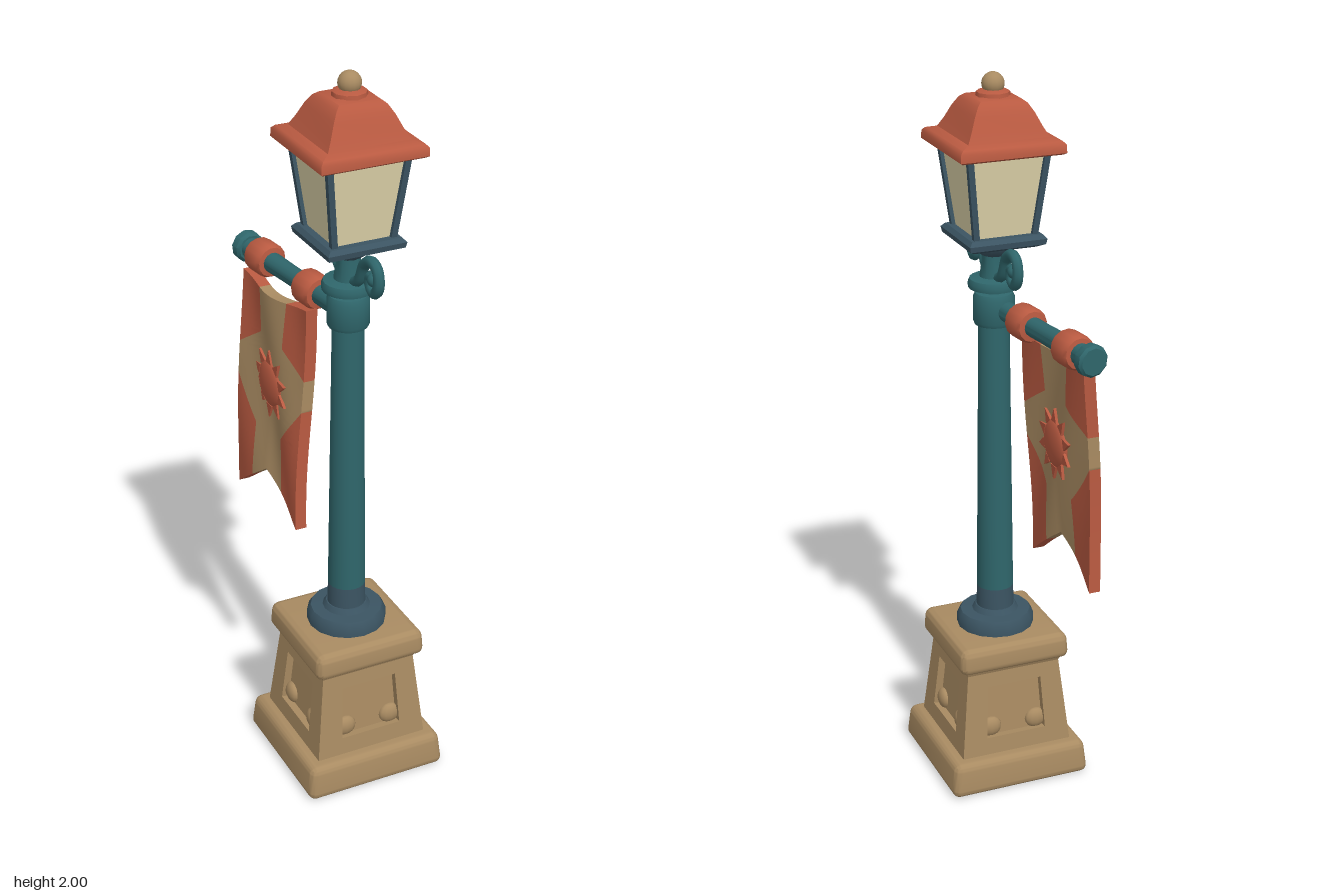
import * as THREE from 'three';
import { toCreasedNormals } from 'three/addons/utils/BufferGeometryUtils.js';
import { RoundedBoxGeometry } from 'three/addons/geometries/RoundedBoxGeometry.js';

const mat = (name, color) => {
  const m = new THREE.MeshStandardMaterial({ color });
  m.name = name;
  return m;
};
const LAMP_Z = 0.143; // the lamp's own axis

export function createModel() {
  const stone = mat('stone', 0xa98b62);
  const teal = mat('teal', 0x2f666b);
  const slate = mat('slate', 0x3b5462);
  const red = mat('red', 0xb95a41);
  const glass = mat('glass', 0xded3aa);

  const model = new THREE.Group();
  const lamp = new THREE.Group();
  lamp.name = 'lampPost';
  lamp.position.z = LAMP_Z;
  model.add(lamp);

  const add = (parent, name, geo, material, x = 0, y = 0, z = 0) => {
    const m = new THREE.Mesh(geo, material);
    m.name = name;
    m.position.set(x, y, z);
    parent.add(m);
    return m;
  };
  // Turned profile of [radius, y] points, listed from bottom to top
  const turned = (pts, sides = 20) => toCreasedNormals(
    new THREE.LatheGeometry(pts.map(p => new THREE.Vector2(...p)), sides), 0.7);
  // Square loft through [halfWidth, y] points
  const square = pts => toCreasedNormals(new THREE.LatheGeometry(
    pts.map(([h, y]) => new THREE.Vector2(h * Math.SQRT2, y)), 4, Math.PI / 4), 0.75);
  // Gently worn stone block, tapering by k towards the top
  const stoneBlock = (w, h, r, k) => {
    const g = new RoundedBoxGeometry(w, h, w, 4, r);
    const p = g.attributes.position;
    for (let i = 0; i < p.count; i++) {
      const s = 1 - k * (p.getY(i) / h + 0.5);
      p.setX(i, p.getX(i) * s);
      p.setZ(i, p.getZ(i) * s);
    }
    g.computeVertexNormals();
    return toCreasedNormals(g, 0.7);
  };

  // Stone pedestal
  add(lamp, 'plinth', stoneBlock(0.412, 0.1, 0.022, 0.05), stone, 0, 0.05, 0);
  add(lamp, 'pedestalCore', square([[0.14, 0.09], [0.114, 0.37]]), stone);
  add(lamp, 'pedestalCap', stoneBlock(0.325, 0.075, 0.022, 0.03), stone, 0, 0.395, 0);
  add(lamp, 'capMoulding', square([[0.133, 0.335], [0.14, 0.355], [0.155, 0.38]]), stone);

  // Four framed panels with worn lumps in the lower corners
  const frame = new THREE.Shape([[-0.163, 0], [0.163, 0], [0.135, 0.27], [-0.135, 0.27]]
    .map(p => new THREE.Vector2(...p)));
  frame.holes.push(new THREE.Path([[-0.088, 0.06], [-0.08, 0.215], [0.08, 0.215], [0.088, 0.06]]
    .map(p => new THREE.Vector2(...p))));
  const frameGeo = new THREE.ExtrudeGeometry(frame, { depth: 0.024, bevelEnabled: false });
  frameGeo.translate(0, 0, -0.024);
  const lumpGeo = new THREE.SphereGeometry(1, 12, 8);
  for (let i = 0; i < 4; i++) {
    const side = new THREE.Group();
    side.name = 'pedestalSide';
    side.rotation.y = i * Math.PI / 2;
    lamp.add(side);
    add(side, 'panelFrame', frameGeo, stone, 0, 0.09, 0.163).rotation.x = -Math.atan(0.028 / 0.27);
    for (const s of [-1, 1]) {
      add(side, 'wornLump', lumpGeo, stone, s * 0.068, 0.172, 0.132).scale.set(0.032, 0.03, 0.018);
    }
  }

  // Post
  add(lamp, 'footCollar', turned([[0, 0.425], [0.108, 0.425], [0.108, 0.458], [0.098, 0.474],
    [0.065, 0.476], [0.056, 0.49], [0, 0.49]], 16), slate);
  add(lamp, 'postFoot', turned([[0.053, 0.47], [0.051, 0.55]]), slate);
  add(lamp, 'post', turned([[0.051, 0.55], [0.047, 0.9], [0.042, 1.34]]), teal);
  add(lamp, 'armCollar', turned([[0.04, 1.325], [0.052, 1.325], [0.056, 1.335], [0.056, 1.4],
    [0.05, 1.412], [0.036, 1.415], [0.036, 1.43]]), teal);
  add(lamp, 'neckDisc', turned([[0.036, 1.427], [0.068, 1.427], [0.07, 1.44], [0.065, 1.452],
    [0.038, 1.457], [0.032, 1.5], [0.032, 1.53]]), teal);
  add(lamp, 'lanternSeat', turned([[0.03, 1.515], [0.045, 1.525], [0.06, 1.555], [0.06, 1.57]], 12), slate);

  // Scroll brackets in front and behind
  const scroll = [[0.02, 1.455], [0.06, 1.475], [0.09, 1.53], [0.125, 1.55], [0.158, 1.54],
    [0.166, 1.5], [0.145, 1.473], [0.12, 1.485], [0.122, 1.51], [0.14, 1.51]];
  for (const s of [-1, 1]) {
    const curve = new THREE.CatmullRomCurve3(scroll.map(([d, y]) => new THREE.Vector3(0, y, s * d)));
    add(lamp, 'scrollBracket', new THREE.TubeGeometry(curve, 40, 0.015, 8), teal);
    add(lamp, 'scrollEye', new THREE.SphereGeometry(0.019, 12, 8), teal, 0, 1.509, s * 0.142);
  }

  // Lantern
  add(lamp, 'lanternTray', square([[0, 1.55], [0.085, 1.55], [0.105, 1.56], [0.108, 1.575],
    [0.098, 1.586], [0, 1.586]]), slate);
  add(lamp, 'lanternGlass', square([[0.078, 1.58], [0.105, 1.81]]), glass);
  const up = new THREE.Vector3(0, 1, 0);
  for (const sx of [-1, 1]) for (const sz of [-1, 1]) {
    const a = new THREE.Vector3(sx * 0.08, 1.575, sz * 0.08);
    const b = new THREE.Vector3(sx * 0.107, 1.81, sz * 0.107);
    const dir = b.clone().sub(a);
    const mid = a.clone().add(b).multiplyScalar(0.5);
    add(lamp, 'lanternPost', new THREE.BoxGeometry(0.016, dir.length(), 0.016), slate, ...mid)
      .quaternion.setFromUnitVectors(up, dir.normalize());
  }
  add(lamp, 'roof', square([[0, 1.803], [0.138, 1.803], [0.145, 1.808], [0.144, 1.83], [0.136, 1.838],
    [0.112, 1.845], [0.098, 1.87], [0.082, 1.905], [0.068, 1.928], [0.055, 1.938], [0, 1.945]]), red);
  add(lamp, 'finialRing', turned([[0.03, 1.93], [0.046, 1.937], [0.044, 1.95], [0.025, 1.957],
    [0, 1.957]], 10), red);
  add(lamp, 'finialBall', new THREE.SphereGeometry(0.03, 16, 12), stone, 0, 1.97, 0);

  // Banner arm, running backwards and slightly to the right
  const arm = new THREE.Group();
  arm.name = 'bannerArm';
  arm.position.set(-0.012, 1.368, LAMP_Z);
  const end = new THREE.Vector3(-0.06, 0, -0.485);
  arm.quaternion.setFromUnitVectors(up, end.clone().normalize());
  model.add(arm);
  const along = z => (LAMP_Z - z) * end.length() / 0.485;
  add(arm, 'armRod', turned([[0.028, 0], [0.026, 0.25], [0.03, along(-0.32)]], 14), teal);
  add(arm, 'armKnob', turned([[0, -0.018], [0.036, -0.018], [0.043, -0.01], [0.043, 0.012],
    [0.036, 0.019], [0, 0.019]], 10), teal, 0, along(-0.325), 0);
  for (const z of [-0.005, -0.238]) {
    add(arm, 'bannerLoop', turned([[0.026, -0.04], [0.041, -0.038], [0.047, -0.028], [0.047, 0.028],
      [0.041, 0.038], [0.026, 0.04]], 14), red, 0, along(z), 0);
  }

  // Banner cloth: s runs across (-1 to 1), v runs from the hem to the top
  const HALF = 0.156, MID = -0.108;
  const clothX = (s, v) => -0.08 - 0.026 * (1 - v) + 0.02 * s + 0.007 * Math.sin(s * 4 + v * 5);
  const clothPoint = (s, v) => {
    const hem = 0.685 + 0.115 * (1 - Math.abs(s));
    const top = 1.335 - 0.02 * Math.cos(s * Math.PI / 2);
    const pinch = 1 - 0.05 * Math.sin(v * Math.PI);
    return [clothX(s, v), hem + (top - hem) * v, MID + s * HALF * pinch];
  };
  // Half-width of the pale field: a diamond widening to the edges
  const field = v => {
    const lerp = THREE.MathUtils.mapLinear;
    if (v >= 0.77 || v <= 0.29) return 0.4;
    if (v > 0.68) return lerp(v, 0.68, 0.77, 1, 0.4);
    return v >= 0.54 ? 1 : lerp(v, 0.29, 0.54, 0.4, 1);
  };
  const cloth = (name, material, v0, v1, from, to, cols) => {
    const g = new THREE.BoxGeometry(1, 1, 1, cols, Math.round((v1 - v0) * 100), 1);
    g.rotateY(Math.PI / 2);
    const p = g.attributes.position;
    for (let i = 0; i < p.count; i++) {
      const v = v0 + (p.getY(i) + 0.5) * (v1 - v0);
      const s = THREE.MathUtils.lerp(from(v), to(v), p.getZ(i) + 0.5);
      const [x, y, z] = clothPoint(s, v);
      p.setXYZ(i, x + p.getX(i) * 0.032, y, z);
    }
    add(model, name, toCreasedNormals(g, 0.7), material);
  };
  cloth('bannerField', stone, 0, 1, v => -field(v), field, 12);
  for (const [v0, v1] of [[0, 0.54], [0.68, 1]]) {
    cloth('bannerBorderFront', red, v0, v1, field, () => 1, 4);
    cloth('bannerBorderBack', red, v0, v1, () => -1, v => -field(v), 4);
  }

  // Sun emblem on both faces
  const rayShape = new THREE.Shape([[-0.016, 0.062], [0.016, 0.062], [0, 0.1]]
    .map(p => new THREE.Vector2(...p)));
  const rayGeo = new THREE.ExtrudeGeometry(rayShape, { depth: 0.008, bevelEnabled: false });
  for (const side of [-1, 1]) {
    const sun = new THREE.Group();
    sun.name = 'sunEmblem';
    sun.position.set(clothX(0, 0.5) + side * 0.015, 1.06, MID);
    sun.rotation.y = side * Math.PI / 2;
    model.add(sun);
    add(sun, 'sunDisc', new THREE.SphereGeometry(0.066, 20, 12), red).scale.z = 0.3;
    for (let i = 0; i < 10; i++) {
      add(sun, 'sunRay', rayGeo, red).rotation.z = i * Math.PI / 5;
    }
  }
  return model;
}
